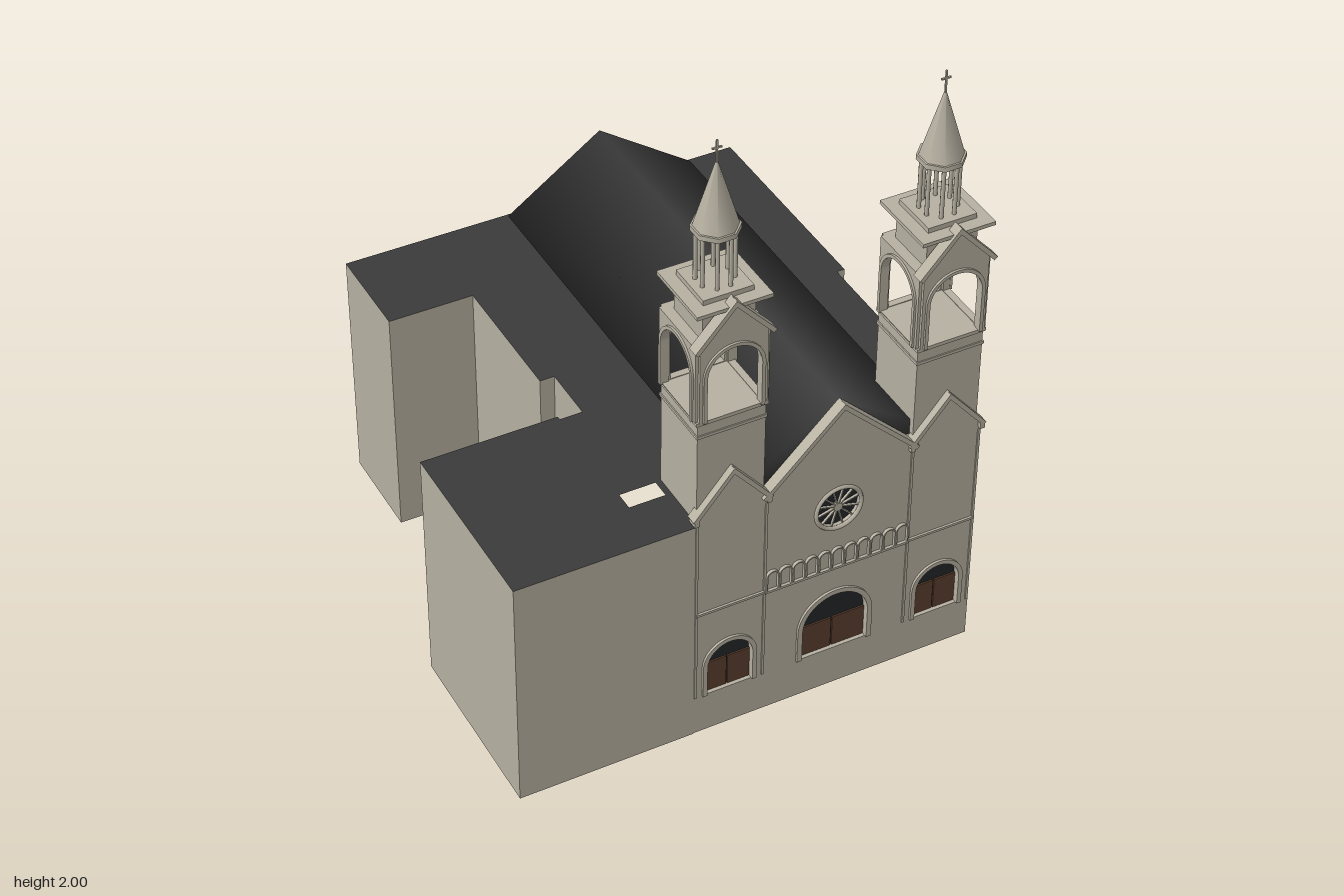
import * as THREE from 'three';

const mat = (name, color) => Object.assign(new THREE.MeshStandardMaterial({ color }), { name });

export function createModel() {
  const stone = mat('stone', 0xb6b0a1);
  const slate = mat('slate', 0x3b3b3b);
  const wood = mat('wood', 0x5a3f2e);
  const glass = mat('darkGlass', 0x242627);

  const model = new THREE.Group();
  model.name = 'church';
  model.rotation.y = 0.1535;

  const add = (parent, name, geometry, material, x = 0, y = 0, z = 0) => {
    const mesh = new THREE.Mesh(geometry, material);
    mesh.name = name;
    mesh.position.set(x, y, z);
    parent.add(mesh);
    return mesh;
  };
  const box = (parent, name, m, w, h, d, x, y, z) =>
    add(parent, name, new THREE.BoxGeometry(w, h, d), m, x, y, z);
  const extrude = (shape, depth) =>
    new THREE.ExtrudeGeometry(shape, { depth, bevelEnabled: false, curveSegments: 16 });
  const polygon = (pts) => new THREE.Shape(pts.map(([x, y]) => new THREE.Vector2(x, y)));

  // Round-headed opening
  const arch = (path, x, w, y0, spring) => {
    path.moveTo(x - w, y0);
    path.lineTo(x + w, y0);
    path.lineTo(x + w, spring);
    path.absarc(x, spring, w, 0, Math.PI, false);
    path.lineTo(x - w, y0);
    return path;
  };
  // Moulding around a round-headed opening
  const archTrim = (x, outer, inner, y0, spring) => {
    const s = new THREE.Shape();
    s.moveTo(x - outer, y0);
    s.lineTo(x - outer, spring);
    s.absarc(x, spring, outer, Math.PI, 0, true);
    s.lineTo(x + outer, y0);
    s.lineTo(x + inner, y0);
    s.lineTo(x + inner, spring);
    s.absarc(x, spring, inner, 0, Math.PI, false);
    s.lineTo(x - inner, y0);
    return s;
  };
  // Pair of sloping coping strips along a gable
  const copings = (parent, x, half, base, peak, z, depth) => {
    const length = Math.hypot(half, peak - base) + 0.012;
    for (const side of [-1, 1]) {
      const strip = box(parent, 'gableCoping', stone, length, 0.014, depth,
        x + side * half / 2, (base + peak) / 2, z);
      strip.rotation.z = -side * Math.atan2(peak - base, half);
    }
  };

  // Main body: stone walls with flat dark roof, and a small light well
  const plan = polygon([
    [-0.639, -0.796], [0.697, -0.796], [0.697, -0.068], [0.67, -0.068], [0.67, 0.743],
    [-0.263, 0.743], [-0.263, 0.766], [-0.824, 0.766], [-0.824, 0.158], [-0.389, 0.158],
    [-0.389, 0.171], [-0.316, 0.171], [-0.316, -0.012], [-0.363, -0.012],
    [-0.363, -0.473], [-0.639, -0.473],
  ].map(([x, z]) => [x, -z]));
  plan.holes.push(polygon([[-0.388, -0.545], [-0.273, -0.545], [-0.273, -0.605], [-0.388, -0.605]]));
  add(model, 'body', extrude(plan, 0.8).rotateX(-Math.PI / 2), [slate, stone]);

  // Nave roof: a softly shaded gabled prism
  const roof = new THREE.BufferGeometry();
  const [l, r, mid, low, top, back, front] = [-0.119, 0.517, 0.199, 0.845, 1.065, -0.732, 0.735];
  roof.setAttribute('position', new THREE.Float32BufferAttribute([
    l, low, back, mid, top, back, r, low, back, l, low, front, mid, top, front, r, low, front], 3));
  roof.setIndex([0, 3, 4, 0, 4, 1, 1, 4, 5, 1, 5, 2, 0, 1, 2, 3, 5, 4, 0, 2, 5, 0, 5, 3]);
  roof.computeVertexNormals();
  add(model, 'naveRoof', roof, slate);

  // Facade, mirrored about its own centre line
  const facade = new THREE.Group();
  facade.name = 'facade';
  facade.position.set(0.2, 0, 0.742);
  model.add(facade);
  const T = 0.348; // tower offset from the centre line
  const wall = polygon([
    [-0.465, 0], [0.465, 0], [0.465, 0.83], [T, 0.965], [0.238, 0.83],
    [0, 1.06], [-0.238, 0.83], [-T, 0.965], [-0.465, 0.83],
  ]);
  const portals = [[-T, 0.088, 0.074], [0, 0.125, 0.109], [T, 0.088, 0.074]];
  for (const [x, , inner] of portals) wall.holes.push(arch(new THREE.Path(), x, inner, 0.14, 0.25));
  wall.holes.push(new THREE.Path().absarc(0, 0.685, 0.07, 0, Math.PI * 2, true));
  add(facade, 'facadeWall', extrude(wall, 0.022), stone);

  // Portals: moulding, dark lunette and double doors
  for (const [x, outer, inner] of portals) {
    add(facade, 'portalMoulding', extrude(archTrim(x, outer, inner, 0.14, 0.25), 0.012), stone, 0, 0, 0.018);
    add(facade, 'lunette', extrude(arch(new THREE.Shape(), x, inner, 0.14, 0.25), 0.003), glass, 0, 0, 0.002);
    for (const side of [-1, 1]) {
      box(facade, 'door', wood, inner - 0.002, 0.11, 0.006, x + side * (inner / 2 + 0.001), 0.195, 0.007);
    }
  }

  // Rose window
  add(facade, 'roseGlass', new THREE.CircleGeometry(0.072, 32), glass, 0, 0.685, 0.006);
  add(facade, 'roseRing', new THREE.TorusGeometry(0.074, 0.007, 6, 32), stone, 0, 0.685, 0.022);
  add(facade, 'roseHub', new THREE.CylinderGeometry(0.014, 0.014, 0.012, 12).rotateX(Math.PI / 2),
    stone, 0, 0.685, 0.014);
  for (let i = 0; i < 12; i++) {
    const a = (i + 0.5) * Math.PI / 6;
    box(facade, 'roseSpoke', stone, 0.062, 0.004, 0.008,
      Math.cos(a) * 0.041, 0.685 + Math.sin(a) * 0.041, 0.014).rotation.z = a;
  }

  // Blind arcade
  for (let i = -5; i <= 5; i++) {
    add(facade, 'blindArch', extrude(archTrim(i * 0.0428, 0.0205, 0.0165, 0.465, 0.518), 0.012),
      stone, 0, 0, 0.02);
  }
  box(facade, 'arcadeSill', stone, 0.476, 0.008, 0.014, 0, 0.463, 0.024);

  // Gables, string courses and corner strips
  copings(facade, 0, 0.245, 0.823, 1.062, 0.016, 0.036);
  for (const side of [-1, 1]) {
    copings(facade, side * T, 0.118, 0.828, 0.968, 0.016, 0.036);
    box(facade, 'stringCourse', stone, 0.226, 0.008, 0.01, side * T, 0.465, 0.024);
    for (const edge of [-0.115, 0.115]) {
      box(facade, 'cornerStrip', stone, 0.008, 0.66, 0.008, side * T + edge * 0.96, 0.47, 0.022);
      box(facade, 'eaveBlock', stone, 0.016, 0.02, 0.036, side * T + edge, 0.818, 0.016);
    }
  }

  // Twin bell towers
  const makeTower = (x) => {
    const tower = new THREE.Group();
    tower.name = 'tower';
    tower.position.set(x, 0, 0.647);
    model.add(tower);
    box(tower, 'shaft', stone, 0.213, 0.365, 0.213, 0, 0.9825, 0);
    box(tower, 'shaftBand', stone, 0.22, 0.01, 0.22, 0, 1.112, 0);
    box(tower, 'belfryFloor', stone, 0.224, 0.012, 0.224, 0, 1.16, 0);

    // Belfry: one arched panel per side, the front one gabled
    for (let i = 0; i < 4; i++) {
      const side = new THREE.Group();
      side.name = 'belfrySide';
      side.rotation.y = i * Math.PI / 2;
      tower.add(side);
      const outline = [[-0.105, 1.165], [0.105, 1.165], [0.105, 1.42]];
      if (i === 0) outline.push([0, 1.54]);
      outline.push([-0.105, 1.42]);
      const panel = polygon(outline);
      panel.holes.push(arch(new THREE.Path(), 0, 0.085, 1.168, 1.315));
      add(side, 'belfryPanel', extrude(panel, 0.022), stone, 0, 0, 0.092);
      add(side, 'belfryArch', extrude(archTrim(0, 0.095, 0.084, 1.165, 1.315), 0.008), stone, 0, 0, 0.113);
      if (i === 0) copings(side, 0, 0.116, 1.418, 1.546, 0.107, 0.036);
    }
    box(tower, 'belfryCeiling', stone, 0.2, 0.012, 0.2, 0, 1.414, 0);
    box(tower, 'upperStage', stone, 0.162, 0.11, 0.162, 0, 1.47, 0);
    box(tower, 'cornice', stone, 0.232, 0.012, 0.232, 0, 1.53, 0);
    box(tower, 'lanternBase', stone, 0.155, 0.016, 0.155, 0, 1.544, 0);

    // Open lantern and spire
    for (let i = 0; i < 8; i++) {
      const a = (i + 0.5) * Math.PI / 4;
      add(tower, 'lanternColumn', new THREE.CylinderGeometry(0.0065, 0.0065, 0.168, 8), stone,
        Math.cos(a) * 0.054, 1.634, Math.sin(a) * 0.054);
    }
    add(tower, 'lanternRing', new THREE.CylinderGeometry(0.07, 0.07, 0.016, 8), stone, 0, 1.722, 0)
      .rotation.y = Math.PI / 8;
    add(tower, 'spire', new THREE.CylinderGeometry(0.004, 0.064, 0.2, 8), stone, 0, 1.83, 0)
      .rotation.y = Math.PI / 8;
    box(tower, 'crossPost', stone, 0.005, 0.08, 0.005, 0, 1.96, 0);
    box(tower, 'crossBar', stone, 0.03, 0.005, 0.005, 0, 1.975, 0);
  };
  makeTower(0.2 - T);
  makeTower(0.2 + T);

  const root = new THREE.Group();
  root.add(model);
  return root;
}
